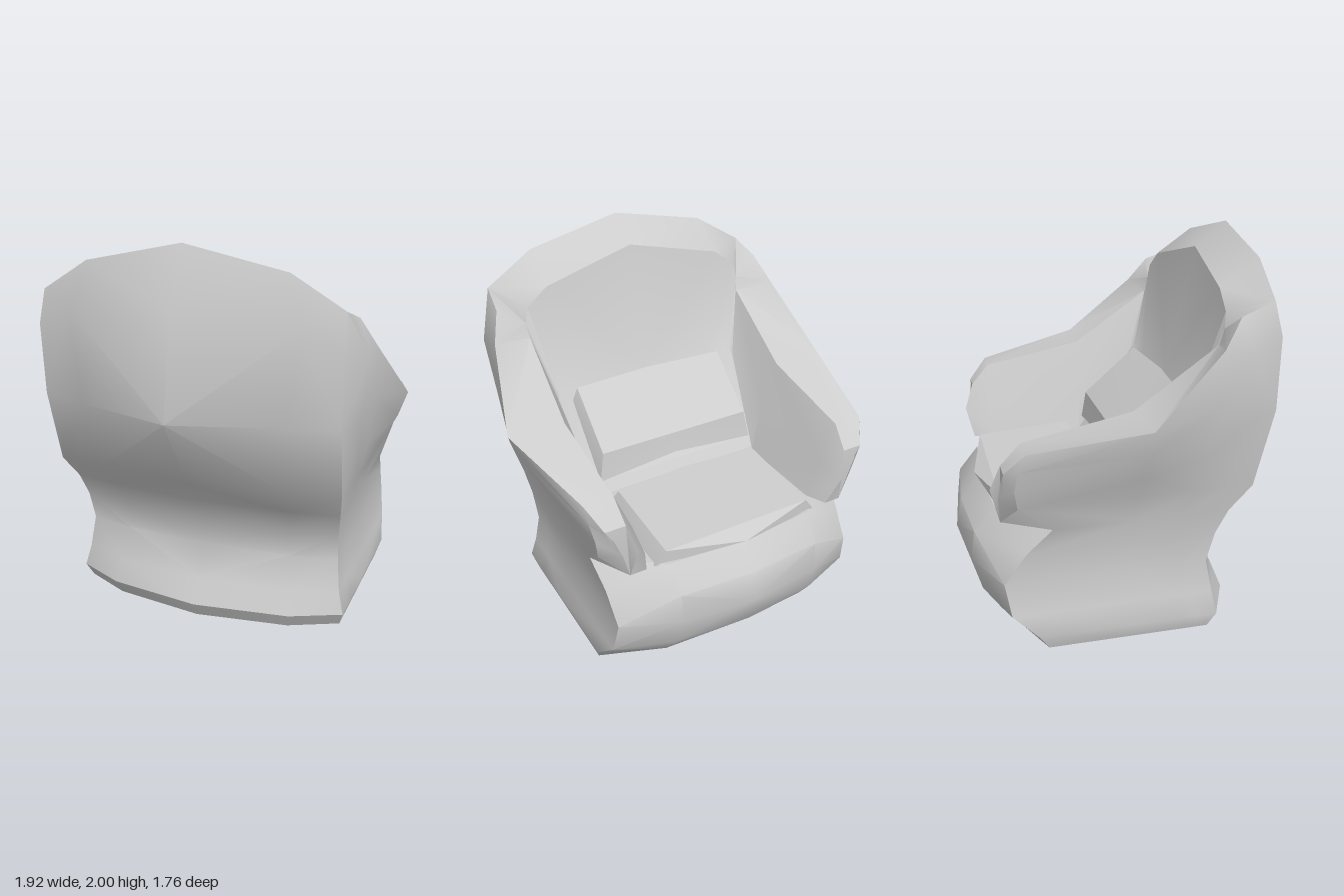
import * as THREE from 'three';
import { toCreasedNormals } from 'three/addons/utils/BufferGeometryUtils.js';

const upholstery = new THREE.MeshStandardMaterial({ color: 0xcccccc, side: THREE.DoubleSide });
upholstery.name = 'grey upholstery';

// Distance of the middle of an edge from the upright axis
const reach = (a, b) => Math.hypot(a[0] + b[0], a[2] + b[2]);

// Surface through a list of cross-sections, each a list of [x, y, z]
function loft(name, sections, { closed = false, capEnds = false, capFrom = 0, crease = 0.7 } = {}) {
  const pos = [];
  const tri = (a, b, c) => pos.push(...a, ...b, ...c);
  for (let i = 0; i < sections.length - 1; i++) {
    const p = sections[i], q = sections[i + 1], n = p.length;
    for (let j = 0; j < (closed ? n : n - 1); j++) {
      const k = (j + 1) % n;
      // split each quad along its outer diagonal, so both halves match
      if (reach(p[k], q[j]) > reach(p[j], q[k])) {
        tri(p[j], p[k], q[j]);
        tri(p[k], q[k], q[j]);
      } else {
        tri(p[j], p[k], q[k]);
        tri(p[j], q[k], q[j]);
      }
    }
  }
  if (capEnds) {
    const fan = (s, flip) => {
      for (let j = 1; j < s.length - 1; j++) flip ? tri(s[0], s[j], s[j + 1]) : tri(s[0], s[j + 1], s[j]);
    };
    fan(sections[0].slice(capFrom), false);
    fan(sections.at(-1).slice(capFrom), true);
  }
  const g = new THREE.BufferGeometry();
  g.setAttribute('position', new THREE.Float32BufferAttribute(pos, 3));
  const mesh = new THREE.Mesh(toCreasedNormals(g, crease), upholstery);
  mesh.name = name;
  return mesh;
}

const mirror = (section) => section.map(([x, y, z]) => [-x, y, z]);
const symmetric = (half) => [...half, ...half.slice(0, -1).reverse().map(mirror)];

// Waisted lower body: shared heights and half widths
const heights = [0, 0.08, 0.2, 0.37, 0.53, 0.66, 0.8];
const widths = [0.74, 0.765, 0.735, 0.715, 0.725, 0.745, 0.775];
const lower = (k, zs) => zs.map((z, i) => [widths[i] * k, heights[i], z]);

export function createModel() {
  const chair = new THREE.Group();
  chair.name = 'armchair';

  // Side edge of the front bulge, shared by the arms and the base
  const edgeZ = [-0.5, -0.55, -0.68, -0.71, -0.6, -0.47, -0.64];

  // Shell sections, from arm tip round to the middle of the back:
  // outer side upwards, over the top edge, then down the inner side
  const armTip = [
    ...lower(1, edgeZ).slice(0, 6), [0.64, 0.68, -0.71],
    [0.68, 0.82, -0.72], [0.72, 0.92, -0.71], [0.76, 0.98, -0.7],
    [0.65, 0.98, -0.7], [0.61, 0.84, -0.75], [0.55, 0.68, -0.71],
  ];
  const armFront = [
    ...lower(1, edgeZ), [0.79, 0.9, -0.655], [0.81, 1.0, -0.635], [0.82, 1.09, -0.6],
    [0.66, 1.09, -0.6], [0.57, 0.88, -0.6], [0.5, 0.68, -0.6],
  ];
  const armMiddle = [
    ...lower(1, [-0.05, -0.05, -0.05, -0.05, -0.05, -0.05, -0.05]),
    [0.84, 0.92, -0.04], [0.915, 1.07, -0.03], [0.96, 1.2, -0.03],
    [0.66, 1.2, -0.05], [0.57, 0.95, -0.05], [0.5, 0.68, -0.08],
  ];
  const armRear = [
    ...lower(1, [0.18, 0.18, 0.18, 0.18, 0.18, 0.2, 0.23]),
    [0.83, 1.0, 0.27], [0.86, 1.25, 0.3], [0.86, 1.53, 0.33],
    [0.65, 1.5, 0.38], [0.56, 1.15, 0.26], [0.5, 0.7, -0.07],
  ];
  const wing = [
    ...lower(1, [0.28, 0.28, 0.27, 0.25, 0.28, 0.32, 0.4]),
    [0.83, 1.15, 0.47], [0.87, 1.5, 0.48], [0.8, 1.67, 0.43],
    [0.66, 1.58, 0.4], [0.55, 1.19, 0.29], [0.5, 0.7, -0.07],
  ];
  const backCorner = [
    ...lower(1, [0.34, 0.38, 0.36, 0.33, 0.37, 0.43, 0.54]),
    [0.785, 1.19, 0.635], [0.795, 1.56, 0.64], [0.78, 1.73, 0.6],
    [0.64, 1.66, 0.41], [0.52, 1.19, 0.3], [0.48, 0.7, -0.07],
  ];
  const backSide = [
    ...lower(0.66, [0.46, 0.5, 0.45, 0.38, 0.41, 0.47, 0.58]),
    [0.52, 1.19, 0.725], [0.6, 1.65, 0.67], [0.52, 1.89, 0.62],
    [0.52, 1.75, 0.42], [0.42, 1.19, 0.31], [0.4, 0.7, -0.07],
  ];
  const backCentre = [
    ...lower(0, [0.53, 0.57, 0.5, 0.41, 0.44, 0.51, 0.63]),
    [0, 1.19, 0.88], [0, 1.7, 0.79], [0, 2, 0.64],
    [0, 1.87, 0.47], [0, 1.19, 0.32], [0, 0.7, -0.06],
  ];
  const shellHalf = [armTip, armFront, armMiddle, armRear, wing, backCorner, backSide, backCentre];
  const shell = symmetric(shellHalf);
  chair.add(loft('backAndArms', shell, { capEnds: true, capFrom: 6 }));

  // Rounded front of the base, running back into the seat deck
  const front = (k, zs, deckX) => [...lower(k, zs), [deckX, 0.68, 0.1]];
  const baseHalf = [
    front(1, edgeZ.slice(0, 6), 0.6),
    front(0.57, [-0.56, -0.7, -0.79, -0.84, -0.82, -0.71], 0.4),
    front(0, [-0.58, -0.72, -0.83, -0.88, -0.85, -0.74], 0),
  ];
  const base = symmetric(baseHalf);
  chair.add(loft('baseFrontAndDeck', base, { crease: 0.52 }));

  // Flat underside
  const rim = [...shell.map((s) => s[0]), ...base.slice(1, -1).reverse().map((s) => s[0])];
  chair.add(loft('underside', [rim, rim.map(() => [0, 0, 0])], { closed: true }));

  // Bevelled cushions: six-point outlines, with the front middle shifted
  const outline = (w, [yf, zf], [yb, zb], bow, dip) => [
    [-w, yf, zf], [0, yf - dip, zf - bow], [w, yf, zf],
    [w, yb, zb], [0, yb, zb + 0.03], [-w, yb, zb],
  ];
  const cushion = (name, bottom, top) =>
    chair.add(loft(name, [bottom, top], { closed: true, capEnds: true, crease: 0.3 }));

  cushion('seatCushion',
    outline(0.49, [0.65, -0.68], [0.66, -0.13], 0.05, 0),
    outline(0.43, [0.73, -0.69], [0.77, -0.17], 0.08, 0.05));
  cushion('lumbarCushion',
    outline(0.48, [0.78, -0.06], [1.13, 0.26], -0.02, 0),
    outline(0.45, [0.94, -0.04], [1.2, 0.26], -0.03, 0));

  return chair;
}
